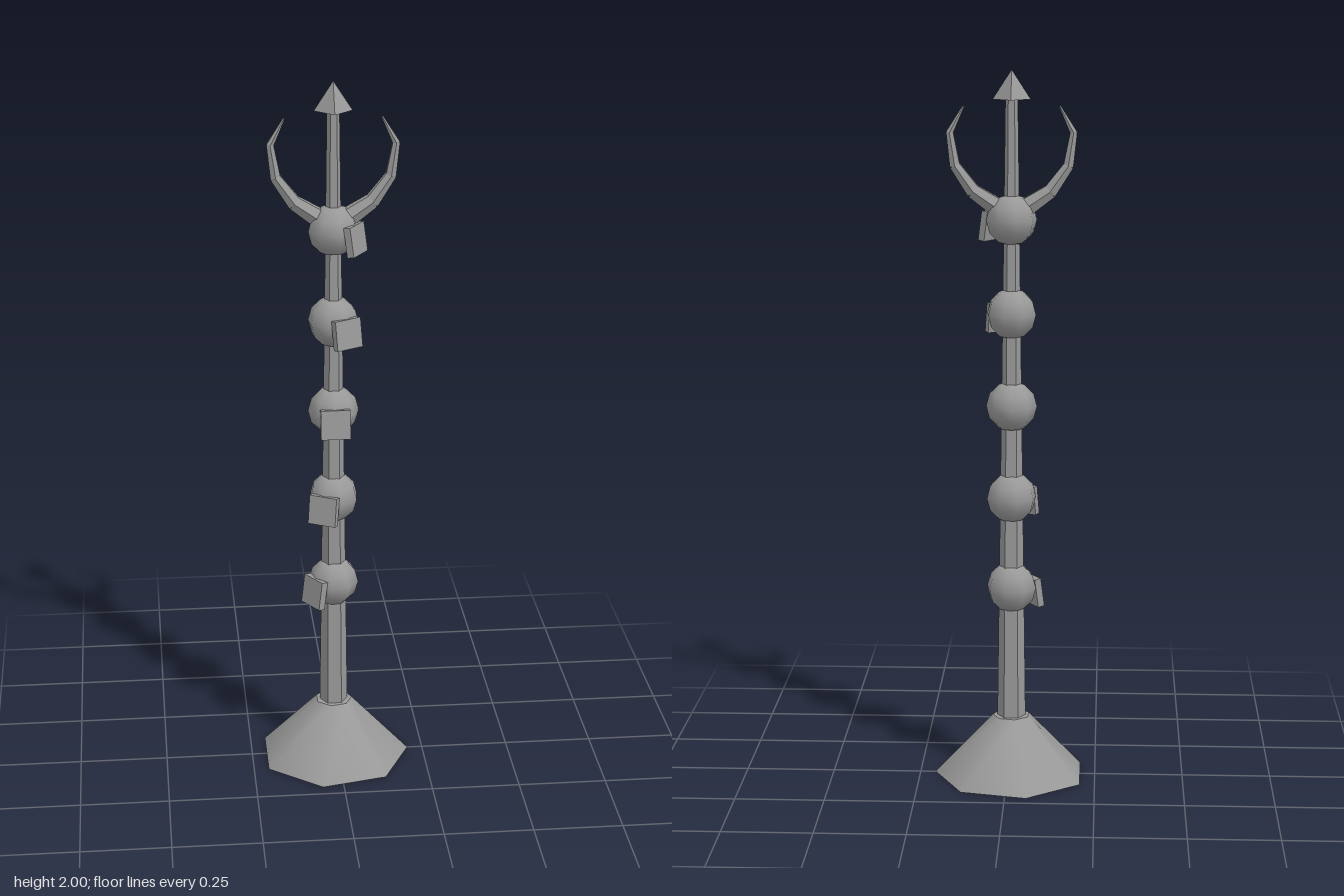
import * as THREE from 'three';

export function createModel() {
  const stone = new THREE.MeshStandardMaterial({ color: 0x999999 });
  stone.name = 'grey';
  const model = new THREE.Group();
  model.name = 'hornedStaff';
  model.position.x = -0.011;

  const add = (name, geometry, parent = model) => {
    const mesh = new THREE.Mesh(geometry, stone);
    mesh.name = name;
    parent.add(mesh);
    return mesh;
  };

  // Seven-sided flared foot with one corner on +x
  const base = add('base', new THREE.CylinderGeometry(0.053, 0.218, 0.175, 7).rotateY(Math.PI / 2));
  base.position.y = 0.0875;

  // Tapering six-sided pole
  const pole = add('pole', new THREE.CylinderGeometry(0.017, 0.04, 1.76, 6).rotateY(Math.PI / 2).toNonIndexed());
  pole.geometry.computeVertexNormals();
  pole.position.y = 1.05;

  // Pointed four-sided finial
  const tip = add('finial', new THREE.ConeGeometry(0.052, 0.08, 4).toNonIndexed());
  tip.geometry.computeVertexNormals();
  tip.position.y = 1.96;

  // Knobs with a small plate each, turning step by step up the pole
  for (let i = 0; i < 5; i++) {
    const knob = new THREE.Group();
    knob.name = 'knob' + (i + 1);
    knob.position.y = 0.552 + i * 0.26;
    knob.rotation.y = (i - 2) * 0.5;
    model.add(knob);
    add('knobBall', new THREE.SphereGeometry(0.071, 8, 6), knob);
    const plate = add('knobPlate', new THREE.BoxGeometry(0.082, 0.082, 0.02), knob);
    plate.position.set(0, -0.018, 0.068);
    plate.rotation.x = -0.15;
  }

  // Curved horns made of tapering segments
  const path = [[0.045, 1.63], [0.105, 1.67], [0.155, 1.74], [0.169, 1.83], [0.132, 1.9]]
    .map(([x, y]) => new THREE.Vector3(x, y, 0));
  const radii = [0.028, 0.022, 0.016, 0.011, 0.003];
  const up = new THREE.Vector3(0, 1, 0);
  for (const side of [1, -1]) {
    const horn = new THREE.Group();
    horn.name = side > 0 ? 'leftHorn' : 'rightHorn';
    horn.rotation.y = side > 0 ? 0 : Math.PI;
    model.add(horn);
    for (let i = 0; i < 4; i++) {
      const along = path[i + 1].clone().sub(path[i]);
      const geometry = new THREE.CylinderGeometry(radii[i + 1], radii[i], along.length() + 0.004, 6).toNonIndexed();
      geometry.computeVertexNormals();
      const segment = add('hornSegment' + (i + 1), geometry, horn);
      segment.position.copy(path[i]).add(path[i + 1]).multiplyScalar(0.5);
      segment.quaternion.setFromUnitVectors(up, along.normalize());
    }
  }
  return model;
}
